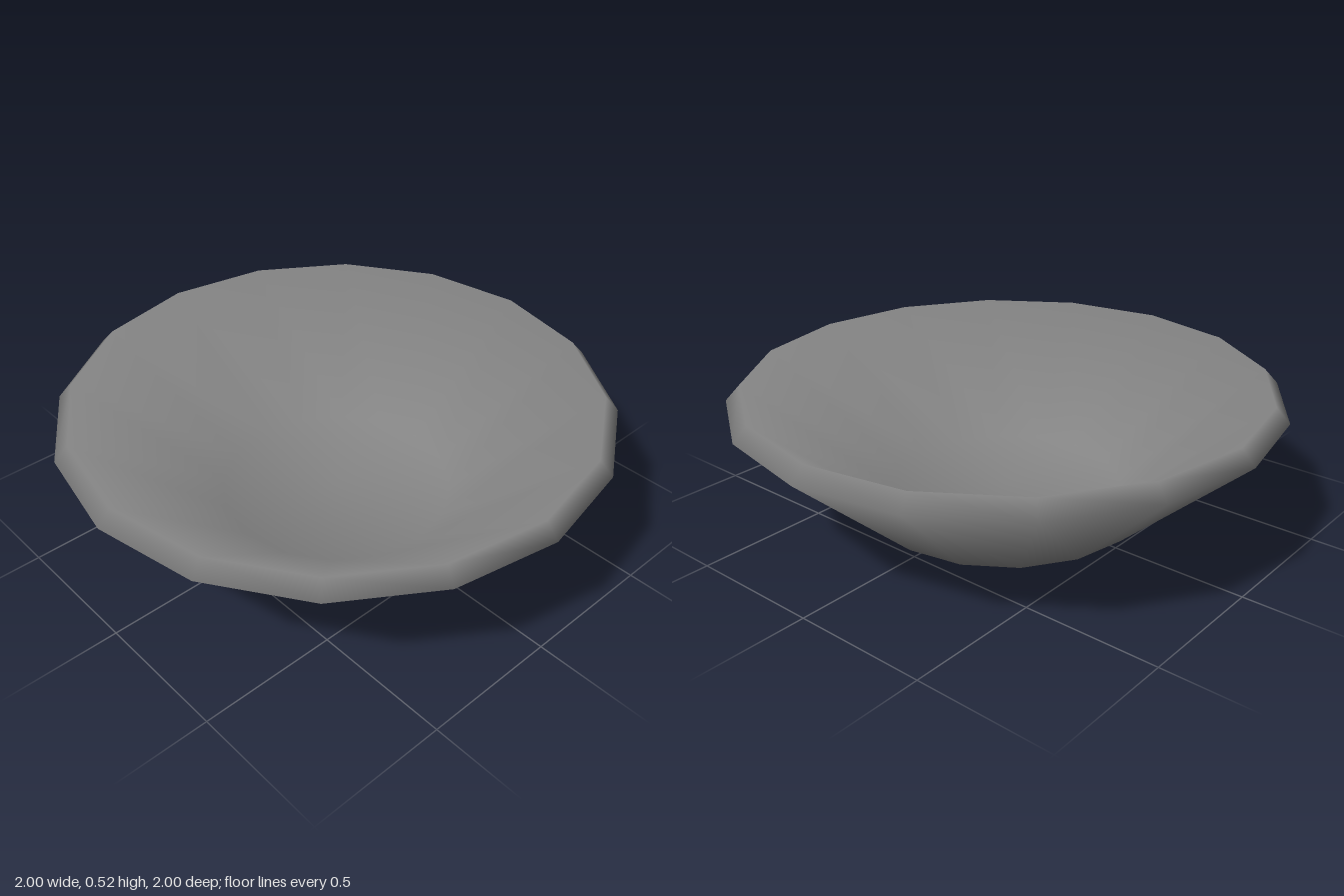
import * as THREE from 'three';

// Lathe whose smooth normals weigh both neighbouring bands of the profile equally
function smoothLathe(points, sides) {
  const geometry = new THREE.LatheGeometry(points, sides);
  const bands = points.slice(1).map((p, i) => {
    const d = p.clone().sub(points[i]).normalize();
    return new THREE.Vector2(d.y, -d.x);
  });
  const normals = points.map((p, i) => {
    const before = bands[Math.max(i - 1, 0)];
    const after = bands[Math.min(i, bands.length - 1)];
    return before.clone().add(after).normalize();
  });
  const attribute = geometry.attributes.normal;
  for (let i = 0; i < attribute.count; i++) {
    const n = normals[i % points.length];
    const angle = (Math.floor(i / points.length) / sides) * Math.PI * 2;
    attribute.setXYZ(i, n.x * Math.sin(angle), n.y, n.x * Math.cos(angle));
  }
  return geometry;
}

export function createModel() {
  const group = new THREE.Group();
  group.name = 'bowl';

  // Closed wall profile: underside, foot, outer wall, bevelled rim, inner wall, floor
  const profile = [
    [0, 0], [0.43, 0], [0.52, 0.035], [1, 0.465], [0.95, 0.52],
    [0.43, 0.1], [0, 0.1],
  ].map(([r, y]) => new THREE.Vector2(r, y));

  const shell = new THREE.Mesh(
    smoothLathe(profile, 16),
    new THREE.MeshStandardMaterial({ color: 0x858585 }),
  );
  shell.name = 'bowlShell';
  group.add(shell);

  return group;
}
